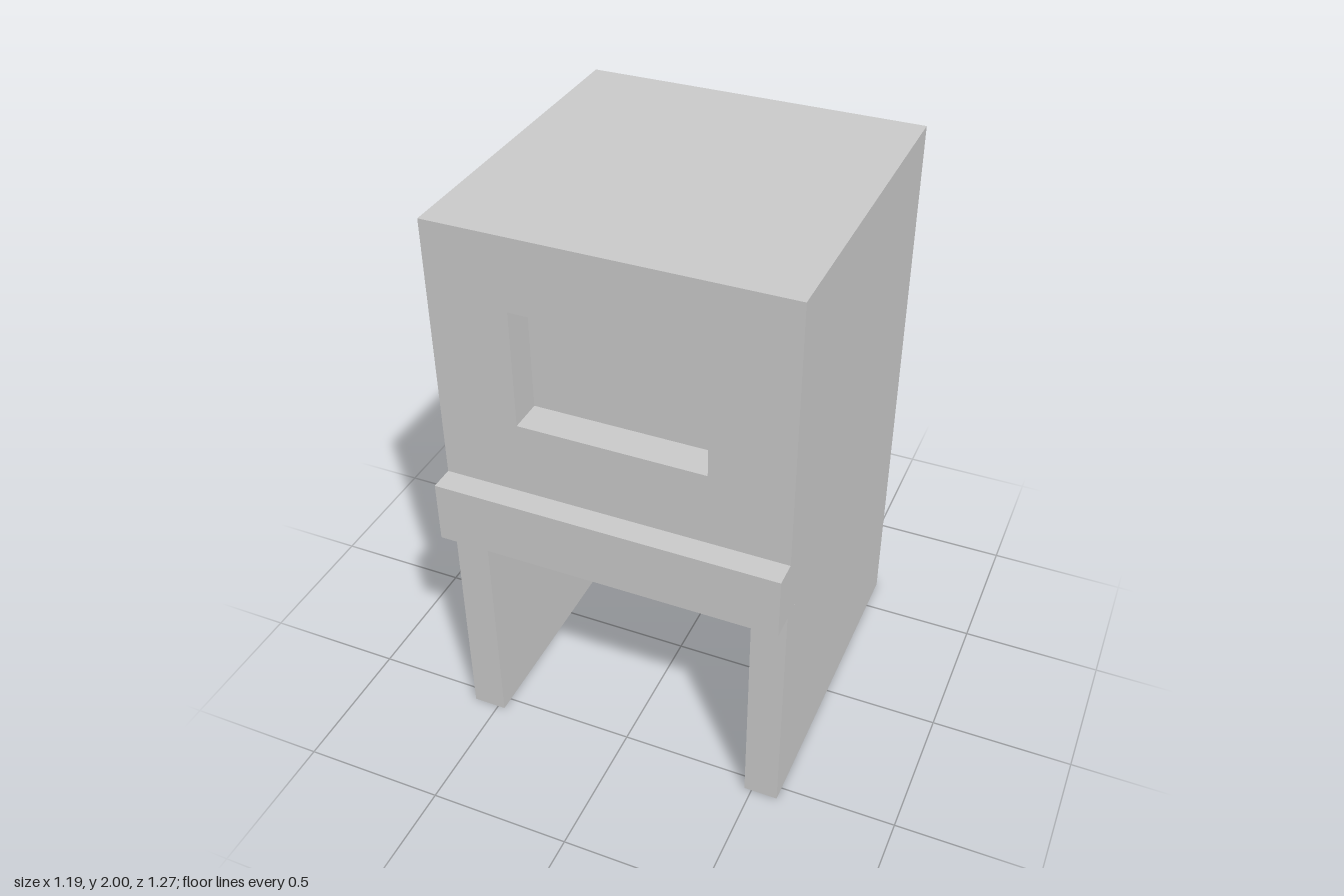
import * as THREE from 'three';

const W = 0.593;               // half width
const BACK = -0.635, FRONT = 0.55, LEDGE = 0.635;
const SHELF = 0.857, TOP = 2;  // underside of the upper body, roof
const SIDE = 0.119, REAR = 0.14, RECESS = 0.118;

const material = new THREE.MeshStandardMaterial({ color: 0xcccccc, flatShading: true });

function add(group, name, geometry) {
  const mesh = new THREE.Mesh(geometry, material);
  mesh.name = name;
  group.add(mesh);
  return mesh;
}

// Box given by its minimum and maximum corners
function box([x0, y0, z0], [x1, y1, z1]) {
  return new THREE.BoxGeometry(x1 - x0, y1 - y0, z1 - z0)
    .translate((x0 + x1) / 2, (y0 + y1) / 2, (z0 + z1) / 2);
}

function polygon(points) {
  return points.map(([x, y]) => new THREE.Vector2(x, y));
}

function rectangle(x0, y0, x1, y1) {
  return polygon([[x0, y0], [x1, y0], [x1, y1], [x0, y1]]);
}

export function createModel() {
  const group = new THREE.Group();
  group.name = 'cabinet';

  // Base: two side walls and a rear wall, open to the front (plan drawn as x, -z)
  const inner = W - SIDE;
  const plan = new THREE.Shape(polygon([
    [-W, -FRONT], [-inner, -FRONT], [-inner, -BACK - REAR], [inner, -BACK - REAR],
    [inner, -FRONT], [W, -FRONT], [W, -BACK], [-W, -BACK],
  ]));
  add(group, 'baseWalls',
    new THREE.ExtrudeGeometry(plan, { depth: SHELF, bevelEnabled: false }).rotateX(-Math.PI / 2));

  // Upper body behind the front panel; its front face is the back of the recess
  add(group, 'upperBody', box([-W, SHELF, BACK], [W, TOP, FRONT - RECESS]));

  // Front panel with the rectangular window
  const panel = new THREE.Shape(rectangle(-W, SHELF, W, TOP));
  panel.holes.push(new THREE.Path(rectangle(-0.32, 1.335, 0.32, 1.748)));
  add(group, 'frontPanel',
    new THREE.ExtrudeGeometry(panel, { depth: RECESS, bevelEnabled: false })
      .translate(0, 0, FRONT - RECESS));

  // Ledge across the front
  add(group, 'frontLedge', box([-W, SHELF, FRONT], [W, 1.075, LEDGE]));

  return group;
}
